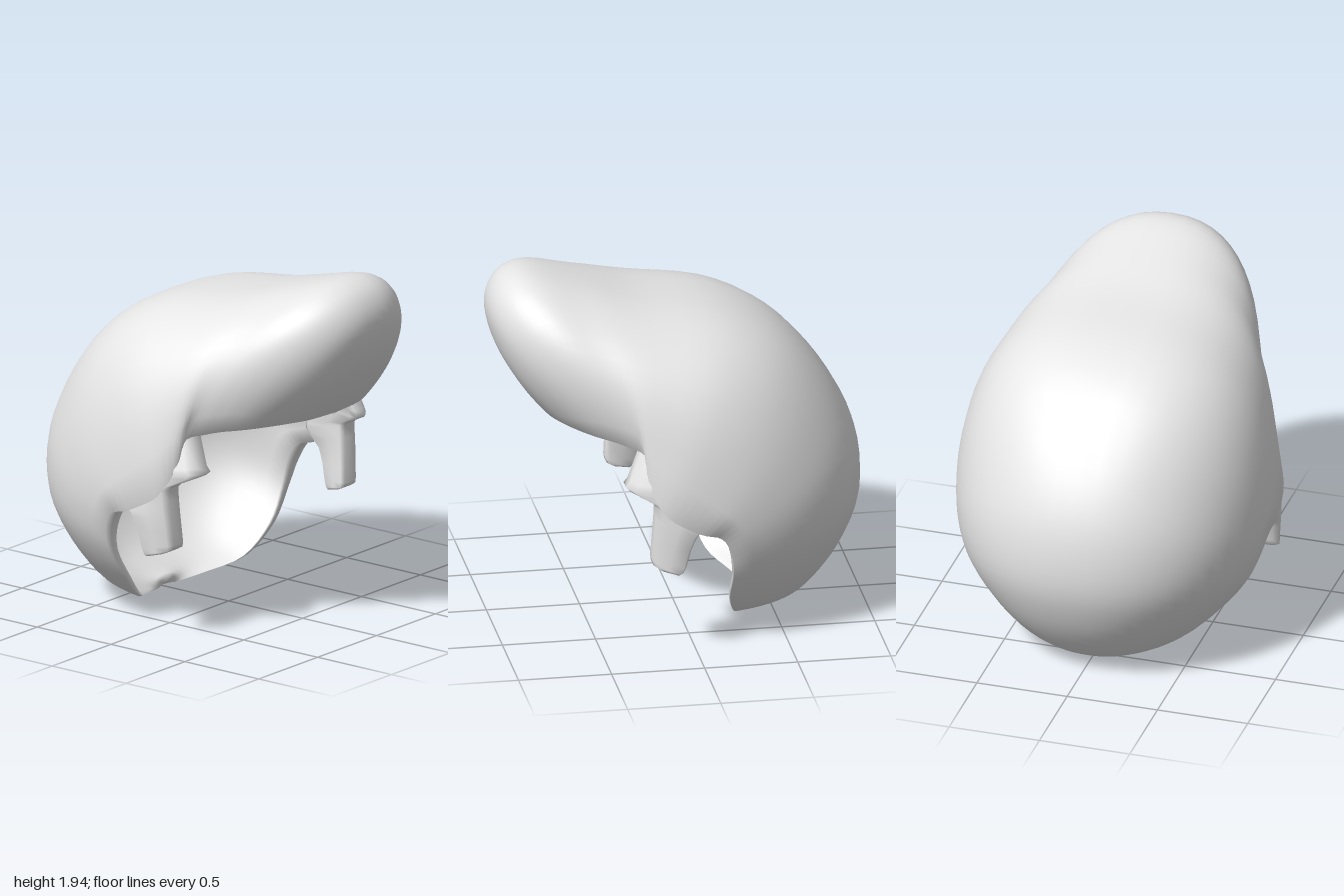
import * as THREE from 'three';
import { mergeVertices } from 'three/addons/utils/BufferGeometryUtils.js';

const { lerp, smoothstep } = THREE.MathUtils;

// Smooth skin over rows of closed rings (each row an array of [x, y, z])
function skin(rows) {
  const n = rows[0].length, index = [];
  for (let i = 0; i < rows.length - 1; i++) {
    for (let j = 0; j < n; j++) {
      const a = i * n + j, b = i * n + (j + 1) % n;
      index.push(a, b, a + n, b, b + n, a + n);
    }
  }
  const g = new THREE.BufferGeometry();
  g.setAttribute('position', new THREE.Float32BufferAttribute(rows.flat(2), 3));
  g.setIndex(index);
  const welded = mergeVertices(g, 1e-4);
  welded.computeVertexNormals();
  return welded;
}

// Close the last ring with a row collapsed onto its centre
function closeEnd(rows) {
  const last = rows[rows.length - 1];
  const tip = [0, 1, 2].map(k => last.reduce((sum, v) => sum + v[k], 0) / last.length);
  rows.push(last.map(() => tip));
}

// Curve through [z, y, x] points
const curve = pts => new THREE.CatmullRomCurve3(
  pts.map(([z, y, x = 0]) => new THREE.Vector3(x, y, z)), false, 'catmullrom', 0.5);

// Hair shell: each station sweeps from the crown line to the hairline, then back inside
function shellGeometry() {
  const crown = curve([[.73, 1.19], [.84, 1.33], [.95, 1.52], [1, 1.7], [.98, 1.83], [.9, 1.92],
    [.76, 1.945], [.5, 1.88], [.2, 1.8], [-.22, 1.73], [-.55, 1.57], [-.8, 1.3], [-.96, .98],
    [-.99, .65], [-.9, .38], [-.75, .16], [-.62, .05], [-.46, .003]]);
  const hairline = curve([[.73, 1.19, 0], [.71, 1.19, .2], [.66, 1.19, .34], [.58, 1.18, .45],
    [.5, 1.17, .53], [.42, 1.16, .59], [.34, 1.14, .64], [.27, 1.11, .7], [.26, .97, .77],
    [.17, .81, .84], [0, .71, .86], [-.12, .67, .85], [-.18, .56, .82], [-.2, .42, .76],
    [-.2, .25, .64], [-.25, .1, .47], [-.35, .04, .27], [-.42, .01, .08]]);
  const lining = curve([[.73, 1.19], [.66, 1.19], [.58, 1.18], [.5, 1.18], [.42, 1.17], [.34, 1.17],
    [.25, 1.17], [.15, 1.17], [0, 1.17], [-.22, 1.16], [-.48, 1.13], [-.71, 1.02], [-.81, .83],
    [-.82, .61], [-.77, .39], [-.65, .21], [-.51, .11], [-.41, .06]]);

  const stations = 68, steps = 14, rows = [];
  for (let i = 0; i <= stations; i++) {
    const u = i / stations;
    const p = crown.getPoint(u), e = hairline.getPoint(u), q = lining.getPoint(u);
    // Fuller section over the temples, rounder at the quiff and nape
    const power = lerp(.88, .74, smoothstep(u, .38, .48)) + .2 * smoothstep(u, .52, .68);
    const inset = lerp(.85, .92, smoothstep(u, .65, .8));
    const half = [];
    const arc = (mid, width, k, pw) => {
      const a = k / steps * Math.PI / 2;
      const c = k === steps ? 0 : Math.cos(a) ** pw, s = Math.sin(a) ** pw;
      half.push([width * s, e.y + (mid.y - e.y) * c, e.z + (mid.z - e.z) * c]);
    };
    for (let k = 0; k <= steps; k++) arc(p, e.x, k, power);
    half.push([e.x * (1 + inset) / 2, e.y, e.z]);   // lip
    for (let k = steps; k >= 0; k--) arc(q, e.x * inset, k, .87);
    const mirrored = half.slice(1, -1).reverse().map(([x, y, z]) => [-x, y, z]);
    rows.push([...half, ...mirrored]);
  }
  closeEnd(rows);
  return skin(rows);
}

// Stepped sideburn: rows of front and back edge points, with a rounded section
function sideburnGeometry(side) {
  const edges = [ // front z, front y, back z, back y
    [.12, 1.3, -.05, 1.3], [.23, 1.22, -.05, 1.2], [.28, 1.14, -.05, 1.1], [.35, .97, -.05, .95],
    [.37, .94, -.05, .9], [.35, .92, -.05, .86], [.24, .87, -.05, .81], [.222, .85, -.05, .78],
    [.225, .78, -.03, .72], [.23, .7, .01, .68], [.235, .62, .04, .61], [.24, .54, .065, .51],
    [.235, .515, .08, .475], [.2, .495, .1, .47]];
  const section = [[.1, 0], [.5, 0], [.9, 0], [1, .25], [1, .75], [.9, 1], [.5, 1], [.1, 1], [0, .8], [0, .2]];
  const rows = edges.map(([zf, yf, zb, yb]) => section.map(([f, d]) => {
    const z = zf + (zb - zf) * f, y = yf + (yb - yf) * f;
    const outer = .86 - z * z - .05 * Math.max(0, .75 - y) - .42 * Math.max(0, y - .95)
      - .04 * f * f * smoothstep(y, .7, .78);
    return [side * (outer - .13 * d), y, z];
  }));
  closeEnd(rows);
  return skin(side > 0 ? rows.reverse() : rows);
}

export function createModel() {
  const model = new THREE.Group();
  model.name = 'hairpiece';
  const grey = new THREE.MeshStandardMaterial({ color: 0xe6e6e6 });
  grey.name = 'light grey';

  const add = (name, geometry) => {
    const mesh = new THREE.Mesh(geometry, grey);
    mesh.name = name;
    model.add(mesh);
  };
  add('hairShell', shellGeometry());
  add('leftSideburn', sideburnGeometry(1));
  add('rightSideburn', sideburnGeometry(-1));
  return model;
}
